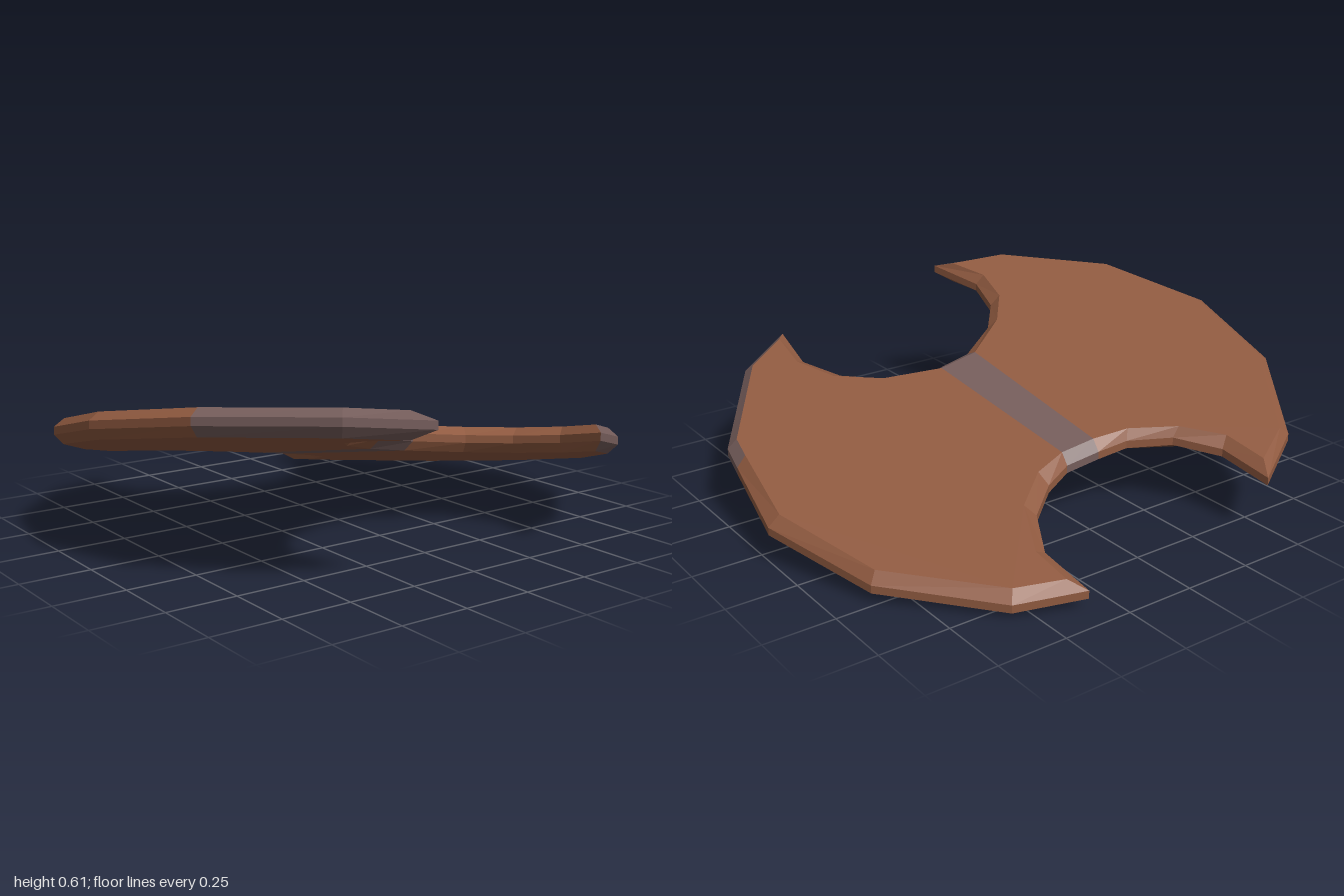
import * as THREE from 'three';

// Outline points: rim x, rim z, then top face corner x, z
const LEFT = [
  [-.05, .31, -.05, .26], [-.21, .40, -.24, .38], [-.31, .52, -.345, .51], [-.35, .68, -.38, .67],
  [-.29, .90, -.33, .82], [-.56, .79, -.53, .75], [-.87, .45, -.83, .425], [-1, .03, -.955, .01],
  [-.93, -.40, -.89, -.40], [-.68, -.76, -.645, -.75], [-.46, -.88, -.485, -.83], [-.44, -.68, -.47, -.665],
  [-.345, -.53, -.37, -.53], [-.205, -.445, -.22, -.43], [-.09, -.43, -.09, -.40],
];
const RIGHT = [
  [.04, -.42, .04, -.39], [.15, -.46, .165, -.42], [.27, -.55, .30, -.52], [.35, -.70, .395, -.71],
  [.34, -.91, .39, -.86], [.565, -.815, .545, -.79], [.865, -.485, .84, -.47], [1, -.065, .96, -.07],
  [.948, .26, .915, .26], [.93, .37, .90, .355], [.675, .735, .66, .70], [.45, .86, .50, .79],
  [.475, .65, .515, .62], [.405, .49, .45, .46], [.285, .375, .31, .335], [.105, .30, .105, .255],
];

// Tilted middle plane of the plate
const plane = (x, z) => 0.299 - 0.177 * x + 0.214 * z;
const at = (x, z, h) => new THREE.Vector3(x, plane(x, z) + h, z);

// Four levels: top face, upper rim, lower rim, bottom face
const levels = ([ox, oz, ix, iz]) => [
  at(ix, iz, 0.047),
  at(ox, oz, 0.014),
  at(ox, oz, -0.014),
  at(ix - 0.016, iz + 0.018, -0.047),
];

const tri = (out, ...pts) => pts.forEach((p) => out.push(p.x, p.y, p.z));

// Flat face over a ring of points, turned up or down
function addCap(out, ring, up) {
  const flat = ring.map((p) => new THREE.Vector2(p.x, p.z));
  for (const [i, j, k] of THREE.ShapeUtils.triangulateShape(flat, [])) {
    const a = ring[i], b = ring[j], c = ring[k];
    const ny = (b.z - a.z) * (c.x - a.x) - (b.x - a.x) * (c.z - a.z);
    if (ny > 0 === up) tri(out, a, b, c);
    else tri(out, a, c, b);
  }
}

// Bevelled rim between two neighbouring outline points
function addRim(out, a, b) {
  for (let l = 0; l < 3; l++) {
    tri(out, a[l], b[l], b[l + 1]);
    tri(out, a[l], b[l + 1], a[l + 1]);
  }
}

function makeMesh(name, positions, material) {
  const geo = new THREE.BufferGeometry();
  geo.setAttribute('position', new THREE.Float32BufferAttribute(positions, 3));
  geo.computeVertexNormals();
  const mesh = new THREE.Mesh(geo, material);
  mesh.name = name;
  return mesh;
}

export function createModel() {
  const brown = new THREE.MeshStandardMaterial({ color: 0x905a40 });
  brown.name = 'rust brown';
  const grey = new THREE.MeshStandardMaterial({ color: 0x745c5a });
  grey.name = 'warm grey';

  const group = new THREE.Group();
  group.name = 'crescentPlate';

  // Wings, with grey trim along the front outer edges
  const wing = (name, outline, trimEdges) => {
    const pts = outline.map(levels);
    const body = [], trim = [];
    addCap(body, pts.map((p) => p[0]), true);
    addCap(body, pts.map((p) => p[3]), false);
    for (let i = 0; i < pts.length - 1; i++) {
      addRim(trimEdges.includes(i) ? trim : body, pts[i], pts[i + 1]);
    }
    group.add(makeMesh(name, body, brown), makeMesh(name + 'EdgeTrim', trim, grey));
    return pts;
  };
  const left = wing('rightWing', LEFT, [4, 5]);
  const right = wing('leftWing', RIGHT, [8, 9, 10]);

  // Central stripe joining the wings
  const l0 = left[0], l1 = left[left.length - 1];
  const r0 = right[0], r1 = right[right.length - 1];
  const stripe = [];
  addCap(stripe, [l0, l1, r0, r1].map((p) => p[0]), true);
  addCap(stripe, [l0, l1, r0, r1].map((p) => p[3]), false);
  addRim(stripe, l1, r0);
  addRim(stripe, r1, l0);
  group.add(makeMesh('centreStripe', stripe, grey));

  return group;
}
